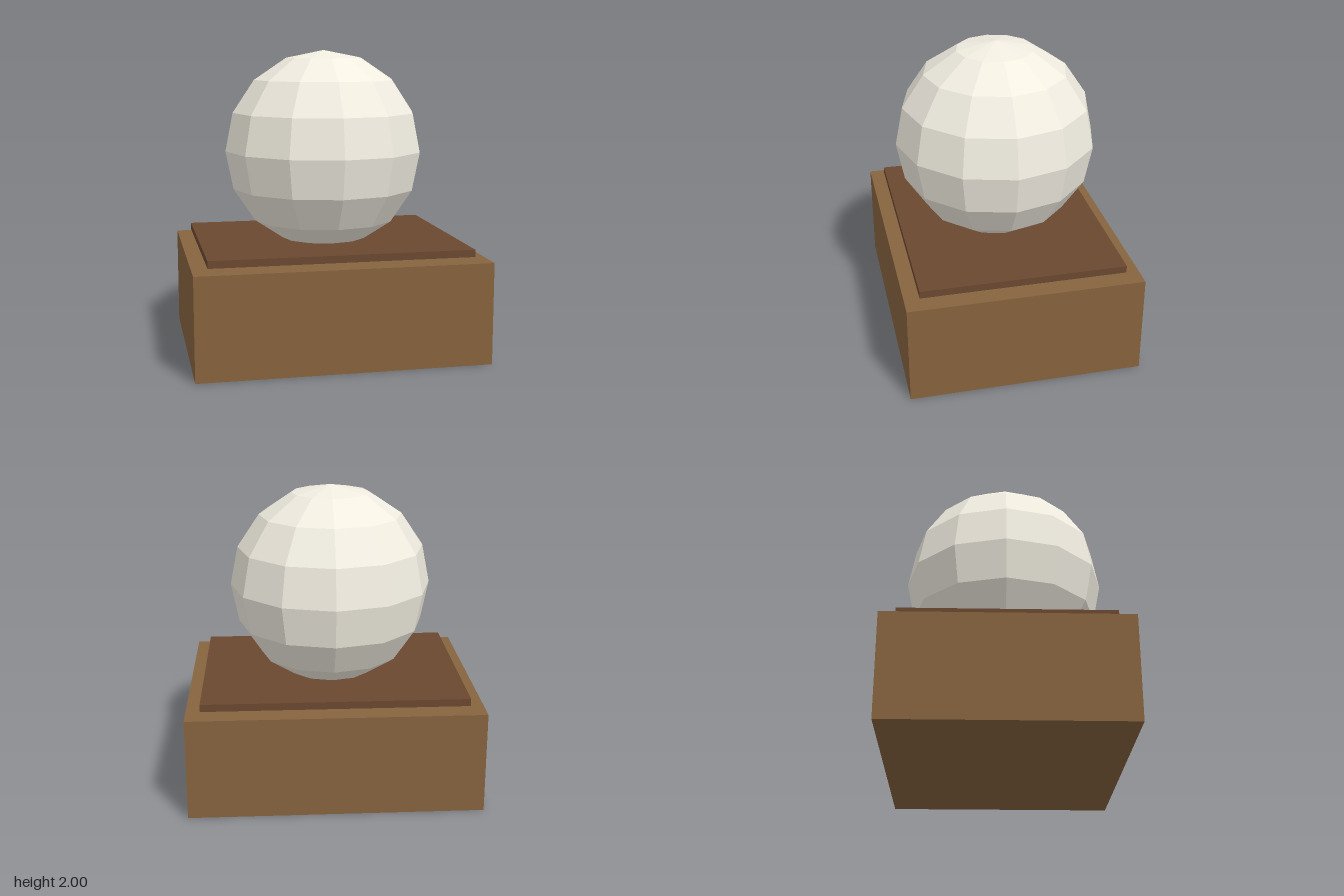
import * as THREE from 'three';

function part(name, geometry, color, y) {
  const material = new THREE.MeshStandardMaterial({ color, flatShading: true });
  const mesh = new THREE.Mesh(geometry, material);
  mesh.name = name;
  mesh.position.y = y;
  return mesh;
}

export function createModel() {
  const group = new THREE.Group();
  group.name = 'ballOnPlinth';

  // Wooden block standing on the ground
  group.add(part('base', new THREE.BoxGeometry(1.905, 0.667, 1.524), 0x86633e, 0.3335));

  // Thin darker plate hovering just above the block
  group.add(part('plate', new THREE.BoxGeometry(1.714, 0.048, 1.333), 0x6b4830, 0.714));

  // Faceted ball sunk through the plate
  group.add(part('ball', new THREE.SphereGeometry(0.667, 12, 8), 0xf0ece0, 1.333));

  return group;
}
